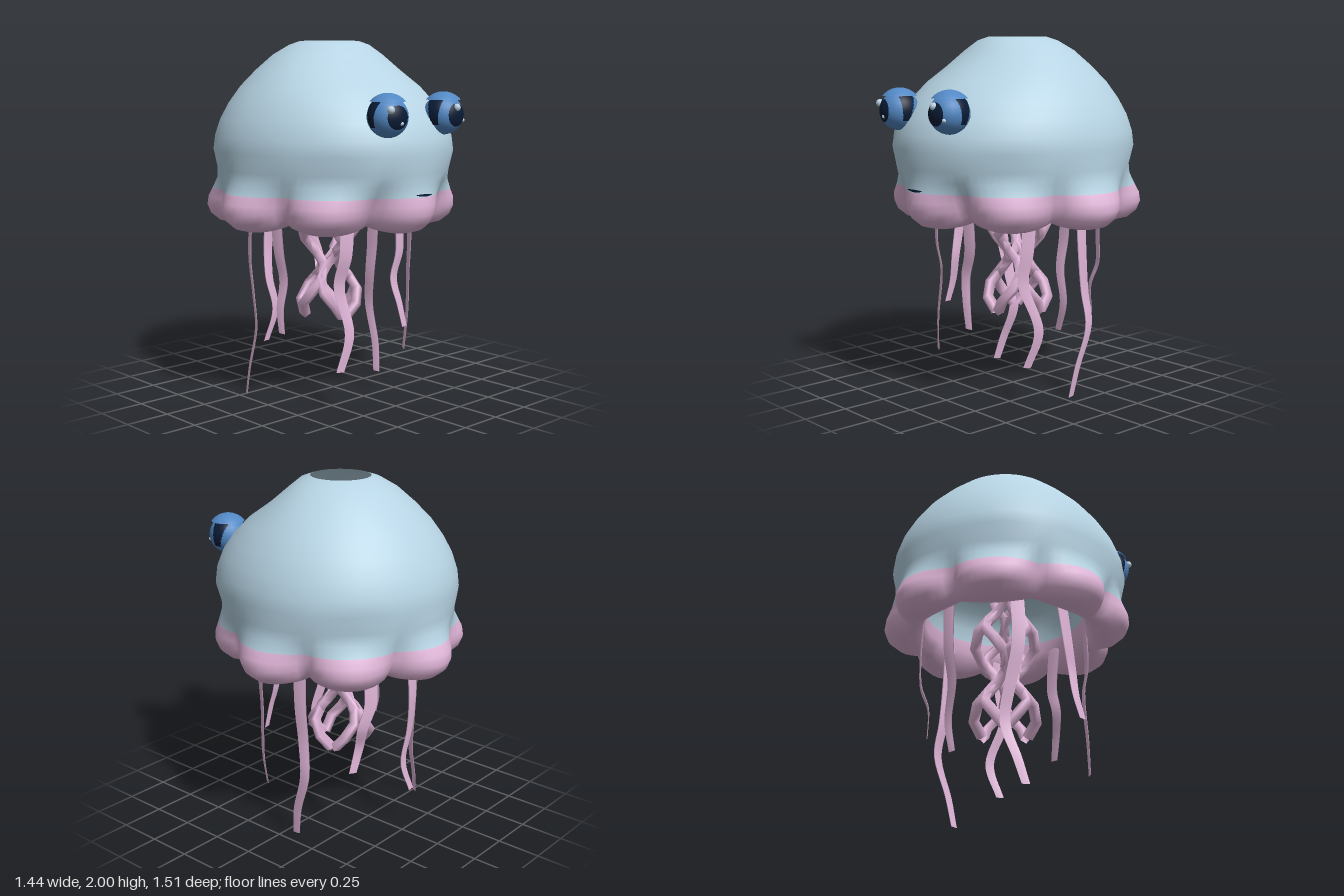
import * as THREE from 'three';

const mat = (name, color, side = THREE.FrontSide) => {
  const m = new THREE.MeshStandardMaterial({ color, side });
  m.name = name;
  return m;
};
const V = (x, y, z) => new THREE.Vector3(x, y, z);
const { lerp, smoothstep } = THREE.MathUtils;
const CZ = -0.035; // bell axis in z

// Surface through rings of equal vertex count, smooth and closed around
function skin(rings, groupOf = () => 0) {
  const n = rings[0].length, index = [], geo = new THREE.BufferGeometry();
  for (let i = 0; i < rings.length - 1; i++) {
    geo.addGroup(index.length, n * 6, groupOf(i));
    for (let j = 0; j < n; j++) {
      const k = (j + 1) % n, a = i * n + j, b = i * n + k, c = a + n, d = b + n;
      index.push(a, c, b, b, c, d);
    }
  }
  geo.setAttribute('position', new THREE.Float32BufferAttribute(rings.flat().flatMap(p => [p.x, p.y, p.z]), 3));
  geo.setIndex(index);
  geo.computeVertexNormals();
  return geo;
}

// Bell rings: height and radius at lobe middle, then at the notch between lobes
const BELL = [
  [2.0, 0.165], [1.98, 0.225], [1.925, 0.318], [1.84, 0.415], [1.75, 0.502], [1.66, 0.567], [1.57, 0.616],
  [1.48, 0.646], [1.4, 0.656], [1.3, 0.65, 1.3, 0.645], [1.24, 0.656, 1.24, 0.632], [1.18, 0.685, 1.18, 0.612],
  [1.13, 0.712, 1.13, 0.598], [1.08, 0.72, 1.095, 0.585], [1.03, 0.7, 1.06, 0.567], [0.99, 0.65, 1.03, 0.545],
  [0.975, 0.59, 1.02, 0.52], [0.99, 0.53, 1.03, 0.5], [1.04, 0.485, 1.07, 0.475], [1.11, 0.46], [1.18, 0.455],
  [1.26, 0.45], [1.36, 0.42], [1.44, 0.33], [1.48, 0.18], [1.49, 0.001],
];
const SPLIT = 11, INNER = 20; // pink runs between these rings

// How far the face side swells forward (flatter above the eyes)
const swellAt = y => 0.02 + 0.1 * smoothstep(y, 1.05, 1.33) * (1 - smoothstep(y, 1.5, 1.9))
  - 0.13 * smoothstep(y, 1.7, 1.9) * (1 - smoothstep(y, 1.92, 2));

function bellGeometry() {
  const rings = BELL.map(([y, r, gy = y, gr = r], i) => Array.from({ length: 96 }, (_, j) => {
    const a = j / 96 * Math.PI * 2, w = Math.pow(Math.abs(Math.cos(4 * a)), 0.85);
    // diagonal lobes are a little smaller
    const big = r - (r > gr ? 0.02 * Math.sin(2 * a) ** 2 : 0);
    const rr = lerp(gr, big, w), yy = lerp(gy, y, w);
    const c = Math.cos(a), swell = c > 0 && i < 17 ? swellAt(yy) : 0;
    return V(rr * Math.sin(a), yy, CZ + rr * c * (1 + swell));
  }));
  return skin(rings, i => (i >= SPLIT && i < INNER ? 1 : 0));
}

// Flat tapering ribbon along a path, broad across the radial direction
function ribbon(points) {
  const curve = new THREE.CatmullRomCurve3(points), N = 28;
  const t = V(points[0].z - CZ, 0, -points[0].x).normalize(), o = V(-t.z, 0, t.x);
  const rings = [];
  for (let i = 0; i <= N; i++) {
    const u = i / N, p = curve.getPoint(u);
    const w = 0.039 - 0.018 * u, d = 0.005 - 0.003 * u;
    rings.push([[-1, -1], [1, -1], [1, 1], [-1, 1]].map(([s, q]) =>
      p.clone().addScaledVector(t, s * w).addScaledVector(o, q * d)));
  }
  return skin(rings);
}

// Outer tentacles: [x, y, z] waypoints from rim to tip
const TENTACLES = [
  [[-0.44, 1.12, 0.0], [-0.445, 0.85, 0.04], [-0.44, 0.7, 0.07], [-0.465, 0.55, 0.07], [-0.48, 0.42, 0.1]],
  [[0.09, 1.12, 0.42], [0.11, 0.85, 0.415], [0.07, 0.7, 0.41], [0.1, 0.55, 0.43], [0.13, 0.42, 0.44]],
  [[0.25, 1.12, -0.43], [0.24, 0.85, -0.45], [0.27, 0.7, -0.42], [0.25, 0.57, -0.38], [0.28, 0.42, -0.36]],
  [[-0.24, 1.12, 0.36], [-0.25, 0.85, 0.36], [-0.26, 0.68, 0.32], [-0.23, 0.42, 0.37], [-0.27, 0.21, 0.34]],
  [[0.39, 1.12, 0.23], [0.38, 0.85, 0.24], [0.36, 0.68, 0.25], [0.42, 0.42, 0.19], [0.36, 0.21, 0.22]],
  [[-0.06, 1.12, -0.48], [-0.08, 0.8, -0.49], [-0.09, 0.6, -0.47], [-0.05, 0.4, -0.46], [-0.11, 0.21, -0.475]],
  [[-0.38, 1.12, -0.27], [-0.4, 0.8, -0.27], [-0.36, 0.57, -0.29], [-0.33, 0.35, -0.305], [-0.4, 0.14, -0.28], [-0.44, 0, -0.26]],
  [[0.43, 1.12, -0.11], [0.44, 0.8, -0.12], [0.44, 0.6, -0.14], [0.455, 0.4, -0.16], [0.44, 0.17, -0.09], [0.42, 0, -0.06]],
];

// Curled, kinked inner arm with few sides, swinging in and out around its own axis
function armGeometry(k) {
  const base = k / 6 * Math.PI * 2 + 0.4, dir = k % 2 ? 1 : -1, pts = [];
  for (let i = 0; i <= 10; i++) {
    const u = i / 10, a = base + dir * (2.37 + u * 11.5);
    pts.push(V(0.11 * Math.sin(base) + 0.065 * Math.sin(a), 1.25 - 0.81 * u,
      CZ + 0.11 * Math.cos(base) + 0.065 * Math.cos(a)));
  }
  return new THREE.TubeGeometry(new THREE.CatmullRomCurve3(pts), 11, 0.032, 4);
}

export function createModel() {
  const model = new THREE.Group();
  const blue = mat('bellBlue', 0xb7d4e4, THREE.DoubleSide), pink = mat('frillPink', 0xe3b8db, THREE.DoubleSide);
  const eyeBlue = mat('eyeBlue', 0x5288c4, THREE.DoubleSide), navy = mat('pupilNavy', 0x0a1c36);
  const glint = mat('glint', 0xb8d0de);
  const add = (parent, name, geo, m, x = 0, y = 0, z = 0) => {
    const mesh = new THREE.Mesh(geo, m);
    mesh.name = name;
    mesh.position.set(x, y, z);
    parent.add(mesh);
    return mesh;
  };

  add(model, 'bell', bellGeometry(), [blue, pink]);
  TENTACLES.forEach(path => add(model, 'tentacle', ribbon(path.map(p => V(...p))), pink));
  for (let k = 0; k < 6; k++) add(model, 'innerArm', armGeometry(k), pink);

  // Eyes: ball, lid, pupil and dark side patches that narrow downward
  const R = 0.108, deg = Math.PI / 180, BANDS = 7;
  const patch = (p0, pl, t0, tl) =>
    new THREE.SphereGeometry(R + 0.003, 20, 10, p0 * deg, pl * deg, t0 * deg, tl * deg).rotateX(Math.PI / 2);
  for (const s of [-1, 1]) {
    const eye = new THREE.Group();
    eye.name = s > 0 ? 'leftEye' : 'rightEye';
    eye.position.set(s * 0.215, 1.605, 0.63);
    add(eye, 'eyeball', new THREE.SphereGeometry(R, 24, 16), eyeBlue);
    add(eye, 'lid', new THREE.SphereGeometry(0.123, 24, 8, 0, Math.PI * 2, 0, 50 * deg), eyeBlue);
    add(eye, 'pupil', patch(0, 360, 0, 34), navy).rotation.y = s > 0 ? 0 : -0.22;
    for (let b = 0; b < BANDS; b++) {
      const low = -48 + b * 11, span = 45 - b * 4;
      for (const p0 of [low, 169 - low])
        add(eye, 'sidePatch', patch(p0, 11, 70 + b, span), navy).rotation.y = s * 0.2;
    }
    model.add(eye);
  }
  for (const [x, y, z, r] of [[-0.28, 1.645, 0.715, 0.021], [-0.22, 1.575, 0.733, 0.011],
    [0.21, 1.645, 0.73, 0.021], [0.275, 1.575, 0.715, 0.011]])
    add(model, 'eyeGlint', new THREE.SphereGeometry(r, 12, 8), glint, x, y, z);

  // Mouth: thin upturned sliver
  const mouth = new THREE.Shape();
  mouth.moveTo(-0.062, 1.195);
  mouth.quadraticCurveTo(0, 1.174, 0.058, 1.193);
  mouth.quadraticCurveTo(0, 1.198, -0.062, 1.195);
  add(model, 'mouth', new THREE.ExtrudeGeometry(mouth, { depth: 0.009, bevelEnabled: false }), navy, 0, 0, 0.692);
  return model;
}
